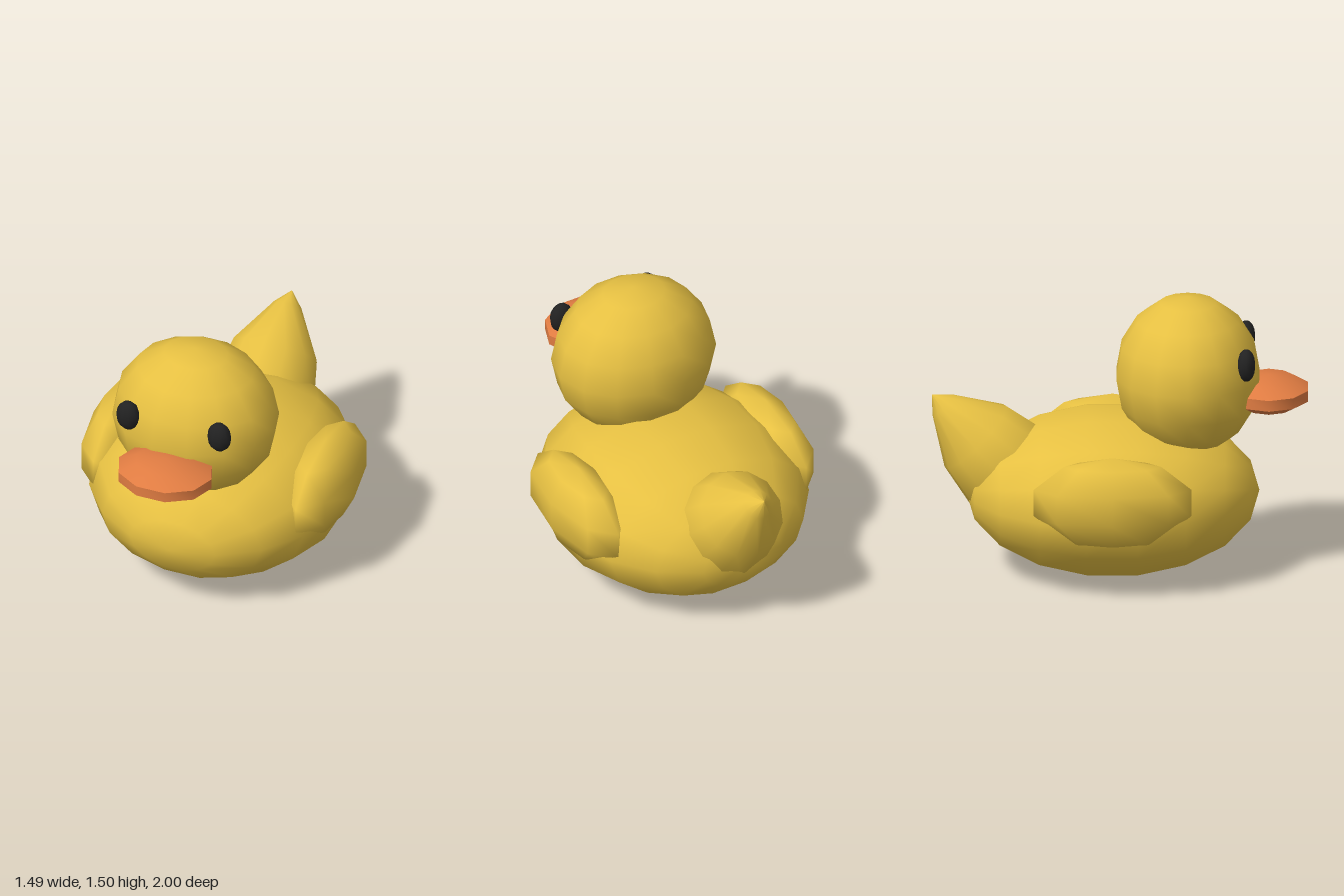
import * as THREE from 'three';
import { toCreasedNormals } from 'three/addons/utils/BufferGeometryUtils.js';

const yellow = new THREE.MeshStandardMaterial({ name: 'duckYellow', color: 0xe6c042 });
const orange = new THREE.MeshStandardMaterial({ name: 'beakOrange', color: 0xe07c42 });
const black = new THREE.MeshStandardMaterial({ name: 'eyeBlack', color: 0x222222 });

export function createModel() {
  const group = new THREE.Group();

  function add(name, geometry, material, x, y, z) {
    const mesh = new THREE.Mesh(geometry, material);
    mesh.name = name;
    mesh.position.set(x, y, z);
    group.add(mesh);
    return mesh;
  }

  // Low-poly ellipsoid with its poles on y
  function ellipsoid(rx, ry, rz, columns, rows) {
    return new THREE.SphereGeometry(1, columns, rows).scale(rx, ry, rz);
  }

  // Body: poles lie at the chest and the rump
  const bodyGeometry = new THREE.SphereGeometry(1, 14, 9).rotateX(Math.PI / 2).scale(0.71, 0.443, 0.78);
  add('body', bodyGeometry, yellow, 0, 0.425, -0.04);

  // Head
  add('head', ellipsoid(0.455, 0.43, 0.39, 14, 8), yellow, 0, 1.07, 0.36);

  // Beak: flattened, with a crisp rim
  add('beak', toCreasedNormals(ellipsoid(0.279, 0.096, 0.231, 10, 5), 0.8), orange, 0, 0.97, 0.79);

  // Tail: rounded spike pointing up and back, origin at its tip
  const profile = [[0, -0.85], [0.2, -0.8], [0.3, -0.64], [0.235, -0.33], [0.078, -0.083], [0, 0]]
    .map(([r, y]) => new THREE.Vector2(r, y));
  const tail = add('tail', new THREE.LatheGeometry(profile, 12), yellow, 0, 0.955, -1);
  tail.rotation.x = -Math.PI / 4;

  // Mirrored wings and eyes
  for (const [side, s] of [['left', 1], ['right', -1]]) {
    add(side + 'Wing', ellipsoid(0.175, 0.255, 0.441, 8, 5), yellow, s * 0.58, 0.525, -0.04);
    add(side + 'Eye', ellipsoid(0.067, 0.088, 0.05, 10, 8), black, s * 0.261, 1.197, 0.67);
  }

  return group;
}
